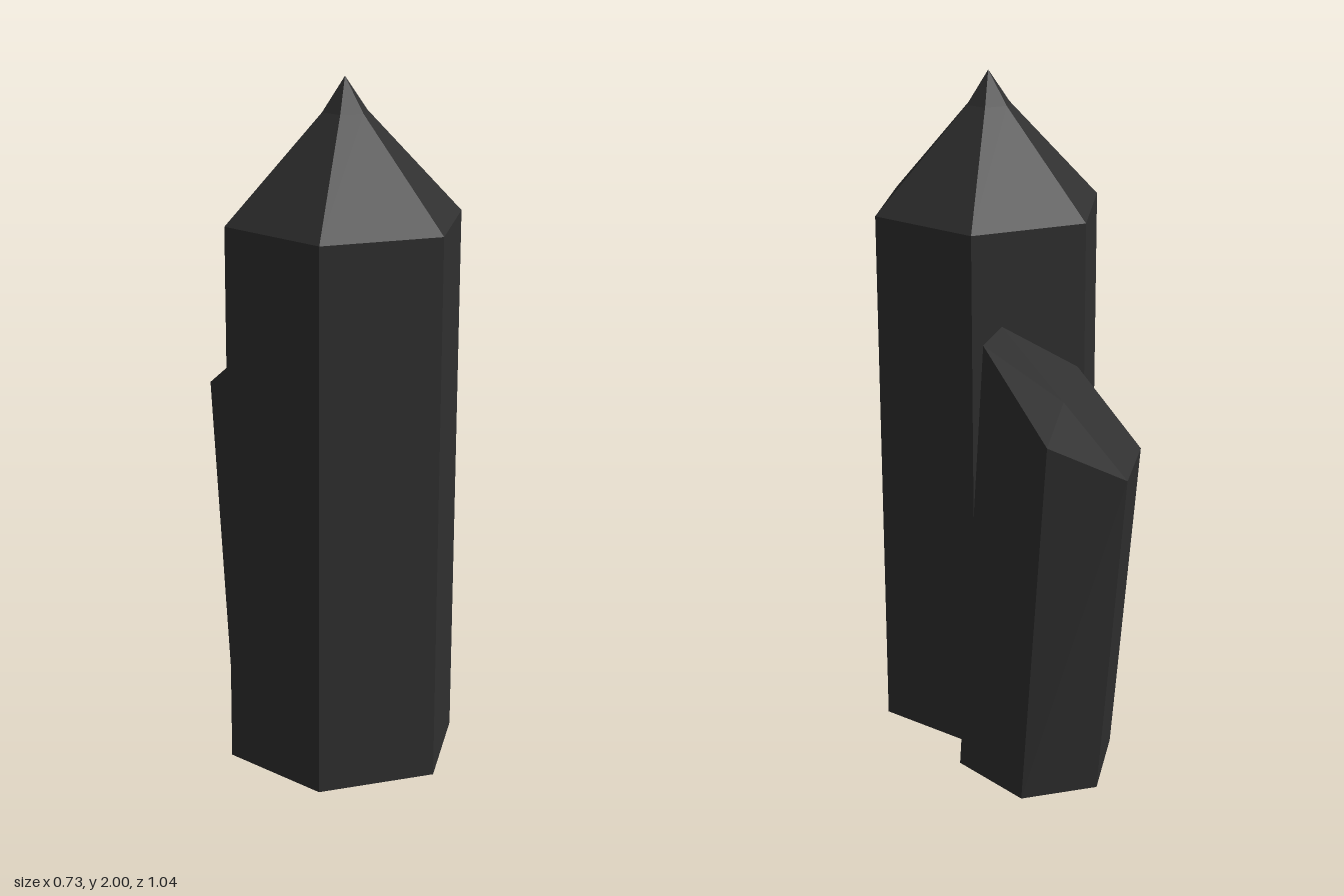
import * as THREE from 'three';

// Skin a stack of rings (each clockwise from above), closed by a fan to a point at each end.
function crystalGeometry(rings, base, tip) {
  const pos = [];
  const tri = (a, b, c) => pos.push(...a, ...b, ...c);
  const n = rings[0].length;
  const last = rings[rings.length - 1];
  for (let i = 0; i < n; i++) {
    const j = (i + 1) % n;
    tri(base, rings[0][i], rings[0][j]);
    for (let r = 0; r < rings.length - 1; r++) {
      const lo = rings[r], hi = rings[r + 1];
      tri(lo[j], lo[i], hi[i]);
      tri(lo[j], hi[i], hi[j]);
    }
    tri(tip, last[j], last[i]);
  }
  const geometry = new THREE.BufferGeometry();
  geometry.setAttribute('position', new THREE.Float32BufferAttribute(pos, 3));
  geometry.computeVertexNormals();
  return geometry;
}

export function createModel() {
  const group = new THREE.Group();
  const stone = new THREE.MeshStandardMaterial({ color: 0x303030, flatShading: true });
  stone.name = 'dark stone';
  const add = (name, geometry) => {
    const mesh = new THREE.Mesh(geometry, stone);
    mesh.name = name;
    group.add(mesh);
  };

  // Tall upright crystal: hexagonal shaft with a slightly pinched point
  const cx = -0.055, cz = 0.18;
  const hex = [[-0.095, -0.16], [0.218, -0.02], [0.26, 0.32], [-0.01, 0.52], [-0.327, 0.38], [-0.365, 0.04]];
  const ring = (y, s) => hex.map(([x, z]) => [cx + (x - cx) * s, y, cz + (z - cz) * s]);
  add('tallCrystal', crystalGeometry(
    [ring(0.03, 0.995), ring(1.61, 1), ring(1.905, 0.19)],
    [cx, 0.03, cz], [cx, 2, cz]));

  // Shorter leaning crystal with an obliquely cut top
  const foot = [[0.11, 0, -0.41], [0.32, 0.01, -0.307], [0.33, 0.035, -0.067],
    [0.125, 0.05, 0.05], [-0.085, 0.04, -0.045], [-0.095, 0.02, -0.28]];
  const cut = [[0.13, 1.005, -0.523], [0.345, 1.135, -0.425], [0.363, 1.375, -0.208],
    [0.16, 1.35, -0.08], [-0.055, 1.2, -0.17], [-0.068, 1.01, -0.4]];
  add('leaningCrystal', crystalGeometry([foot, cut], [0.118, 0.026, -0.177], [0.146, 1.18, -0.301]));

  return group;
}
